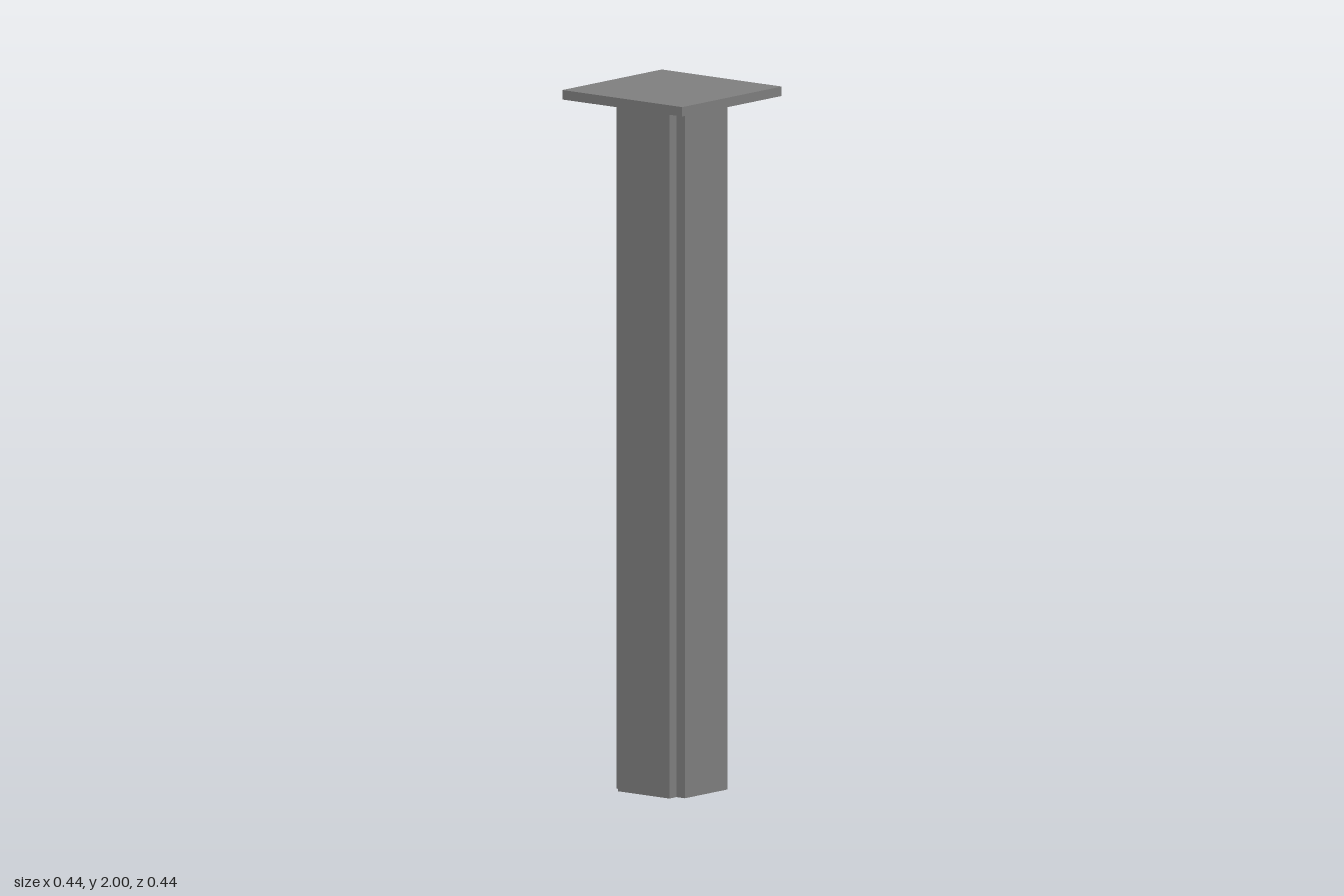
import * as THREE from 'three';

export function createModel() {
  const group = new THREE.Group();
  const steel = new THREE.MeshStandardMaterial({ color: 0x808080 });
  steel.name = 'grey';

  const half = 0.125, notch = 0.094;      // post half width, start of corner notch
  const plateHalf = 0.219, plateH = 0.027;
  const postH = 2 - plateH;

  // Square post with a square notch cut along each corner
  const points = [];
  for (let i = 0; i < 4; i++) {
    for (const [x, y] of [[half, -notch], [half, notch], [notch, notch]]) {
      points.push(new THREE.Vector2(x, y).rotateAround(new THREE.Vector2(), i * Math.PI / 2));
    }
  }
  const postGeometry = new THREE.ExtrudeGeometry(new THREE.Shape(points), { depth: postH, bevelEnabled: false });
  postGeometry.rotateX(-Math.PI / 2);
  const post = new THREE.Mesh(postGeometry, steel);
  post.name = 'post';
  group.add(post);

  // Flat square cap plate
  const plate = new THREE.Mesh(new THREE.BoxGeometry(plateHalf * 2, plateH, plateHalf * 2), steel);
  plate.position.y = 2 - plateH / 2;
  plate.name = 'capPlate';
  group.add(plate);

  return group;
}
